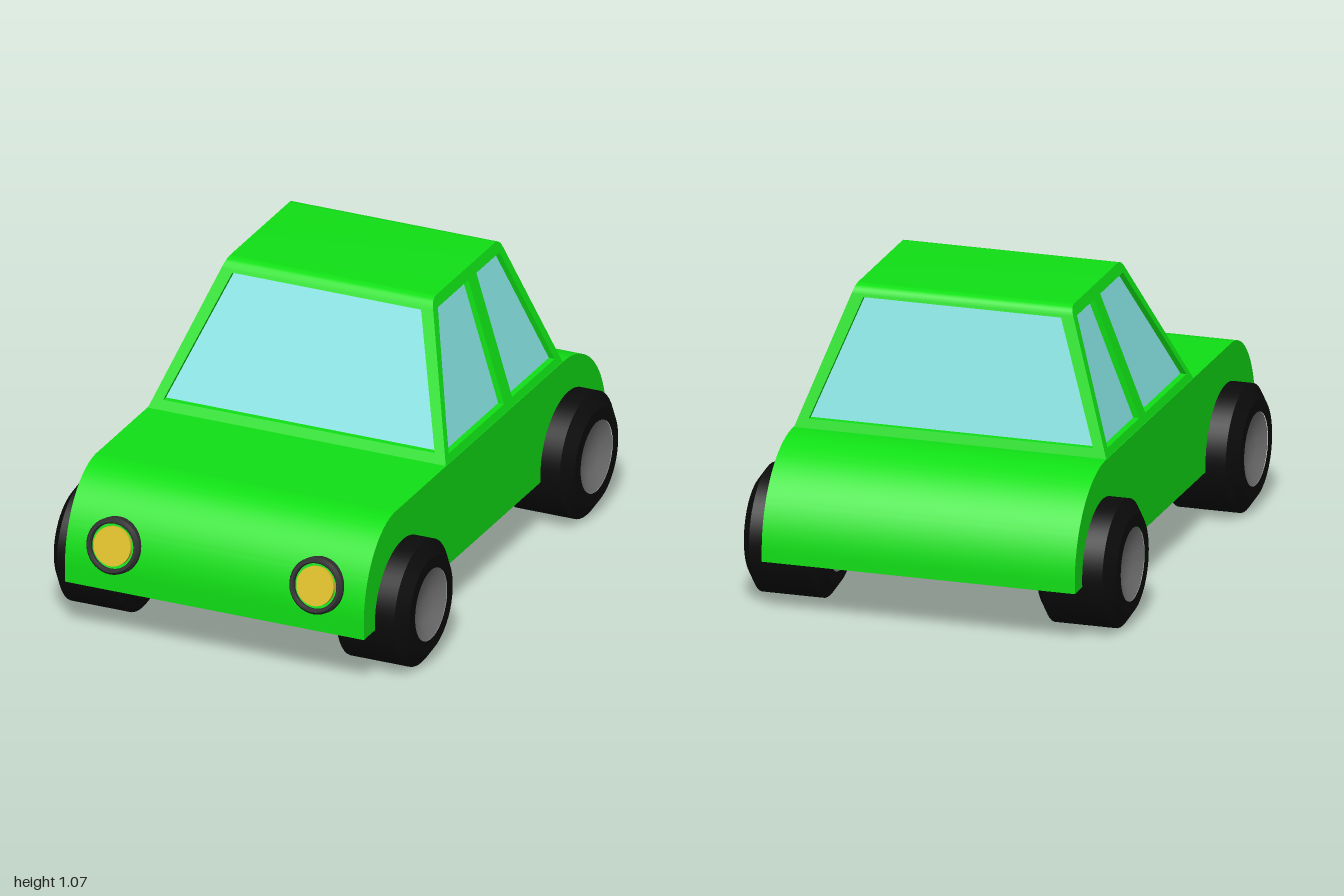
import * as THREE from 'three';
import { toCreasedNormals } from 'three/addons/utils/BufferGeometryUtils.js';

const mat = (color, side = THREE.FrontSide) => new THREE.MeshStandardMaterial({ color, side });
const green = mat(0x10e015);
const glass = mat(0x85e0e0, THREE.DoubleSide);
const rubber = mat(0x0b0b0b);
const metal = mat(0x777777);
const trim = mat(0x303030);
const yellow = mat(0xe0c028);

const V = (x, y) => new THREE.Vector2(x, y);
const poly = (pts) => new THREE.Shape(pts.map(([x, y]) => V(x, y)));
const smooth = (geo) => toCreasedNormals(geo, 0.5);

function add(parent, name, geo, material) {
  const mesh = new THREE.Mesh(geo, material);
  mesh.name = name;
  parent.add(mesh);
  return mesh;
}

// Cabin walls lean inward with height
const BASE = 0.575, EAVE = 1.04, W = 0.567;
const lean = (a, b) => (y) => a + (b - a) * (y - BASE) / (EAVE - BASE);
const halfWidth = lean(W, 0.401);
const frontZ = lean(0.295, 0.045);
const rearZ = lean(-0.655, -0.52);

// Shift vertices along one axis (0 = x, 2 = z) according to their height
function shear(geo, axis, rule) {
  const p = geo.attributes.position;
  for (let i = 0; i < p.count; i++) p.setComponent(i, axis, p.getComponent(i, axis) + rule(p.getY(i)));
  geo.computeVertexNormals();
  return geo;
}

// A leaning wall with window openings and recessed panes
function wall(parent, name, outline, windows, turn, axis, rule) {
  const shape = poly(outline);
  shape.holes = windows.map(poly);
  const frame = new THREE.ExtrudeGeometry(shape, { depth: 0.03, bevelEnabled: false });
  frame.translate(0, 0, -0.03).rotateY(turn);
  add(parent, name + 'Frame', shear(frame, axis, rule), green);
  windows.forEach((pts) => {
    const pane = new THREE.ShapeGeometry(poly(pts)).translate(0, 0, -0.022).rotateY(turn);
    add(parent, name + 'Window', shear(pane, axis, rule), glass);
  });
}

function makeBody() {
  const s = new THREE.Shape();
  s.moveTo(-1, 0.2);
  s.lineTo(0.96, 0.2);
  s.lineTo(0.96, 0.26);
  s.absellipse(0.7, 0.26, 0.26, 0.32, 0, Math.PI / 2, false);
  s.lineTo(-0.66, 0.58);
  s.absellipse(-0.66, 0.24, 0.34, 0.34, Math.PI / 2, Math.PI, false);
  const geo = new THREE.ExtrudeGeometry(s, { depth: 2 * W, bevelEnabled: false, curveSegments: 24 });
  return smooth(geo.translate(0, 0, -W).rotateY(-Math.PI / 2));
}

function makeRoof() {
  const s = new THREE.Shape();
  s.moveTo(-0.52, EAVE);
  s.lineTo(0.045, EAVE);
  s.quadraticCurveTo(0.03, 1.07, -0.005, 1.07);
  s.lineTo(-0.475, 1.07);
  s.quadraticCurveTo(-0.512, 1.07, -0.52, EAVE);
  const geo = new THREE.ExtrudeGeometry(s, { depth: 2, bevelEnabled: false, curveSegments: 8 });
  geo.translate(0, 0, -1).rotateY(-Math.PI / 2);
  const p = geo.attributes.position;
  for (let i = 0; i < p.count; i++) p.setX(i, p.getX(i) * halfWidth(p.getY(i)));
  return smooth(geo);
}

function makeCabin() {
  const cabin = new THREE.Group();
  cabin.name = 'cabin';
  add(cabin, 'roof', makeRoof(), green);

  // Windscreen and rear window
  const t = halfWidth(EAVE);
  const endOutline = [[-W, BASE], [W, BASE], [t, EAVE], [-t, EAVE]];
  const endWindow = [[-0.515, 0.612], [0.515, 0.612], [0.358, 1.03], [-0.358, 1.03]];
  wall(cabin, 'front', endOutline, [endWindow], 0, 2, frontZ);
  wall(cabin, 'rear', endOutline, [endWindow], Math.PI, 2, rearZ);

  // Side walls: first coordinate is z
  const sideOutline = [[-0.655, BASE], [0.295, BASE], [0.045, EAVE], [-0.52, EAVE]];
  const sideWindows = [
    [[-0.2, 0.607], [0.25, 0.607], [0.012, 1.032], [-0.235, 1.032]],
    [[-0.61, 0.607], [-0.265, 0.607], [-0.3, 1.032], [-0.487, 1.032]],
  ];
  for (const side of [1, -1]) {
    const g = new THREE.Group();
    g.name = side > 0 ? 'leftSide' : 'rightSide';
    // extrusion runs toward -x after the turn, so move its outer face to zero
    wall(g, 'side', sideOutline, sideWindows, -Math.PI / 2, 0, (y) => halfWidth(y) - 0.03);
    g.children.filter((m) => m.name === 'sideWindow').forEach((m) => { m.position.x = -0.014; });
    g.scale.x = side;
    cabin.add(g);
  }
  return cabin;
}

// Chamfered tyre with a dished hub on both faces
function makeWheel() {
  const wheel = new THREE.Group();
  wheel.name = 'wheel';
  const tyre = [[0.13, -0.145], [0.175, -0.145], [0.225, -0.11], [0.225, 0.11], [0.175, 0.145], [0.13, 0.145]];
  const hub = [[0, -0.115], [0.07, -0.122], [0.13, -0.143], [0.13, 0.143], [0.07, 0.122], [0, 0.115]];
  const turned = (pts) => smooth(new THREE.LatheGeometry(pts.map(([r, y]) => V(r, y)), 48).rotateZ(-Math.PI / 2));
  add(wheel, 'tyre', turned(tyre), rubber);
  add(wheel, 'hub', turned(hub), metal);
  return wheel;
}

// Tilted lamp: dark ring, body-coloured backing and yellow lens
function makeHeadlight() {
  const lamp = new THREE.Group();
  lamp.name = 'headlight';
  const ring = [[0.08, -0.06], [0.1, -0.06], [0.1, -0.012], [0.092, 0], [0.084, 0], [0.08, -0.006], [0.08, -0.06]];
  add(lamp, 'ring', smooth(new THREE.LatheGeometry(ring.map(([r, y]) => V(r, y)), 40).rotateX(Math.PI / 2)), trim);
  const disc = (r, front) => new THREE.CylinderGeometry(r, r, 0.04, 40).rotateX(Math.PI / 2).translate(0, 0, front - 0.02);
  add(lamp, 'backing', disc(0.081, -0.018), green);
  add(lamp, 'lens', disc(0.07, -0.004), yellow);
  lamp.rotation.x = -0.25;
  return lamp;
}

export function createModel() {
  const car = new THREE.Group();
  car.name = 'car';
  add(car, 'body', makeBody(), green);
  car.add(makeCabin());
  for (const side of [1, -1]) {
    for (const z of [0.645, -0.695]) {
      const wheel = makeWheel();
      wheel.position.set(side * 0.53, 0.225, z);
      car.add(wheel);
    }
    const lamp = makeHeadlight();
    lamp.position.set(side * 0.385, 0.373, 0.972);
    car.add(lamp);
  }
  return car;
}
